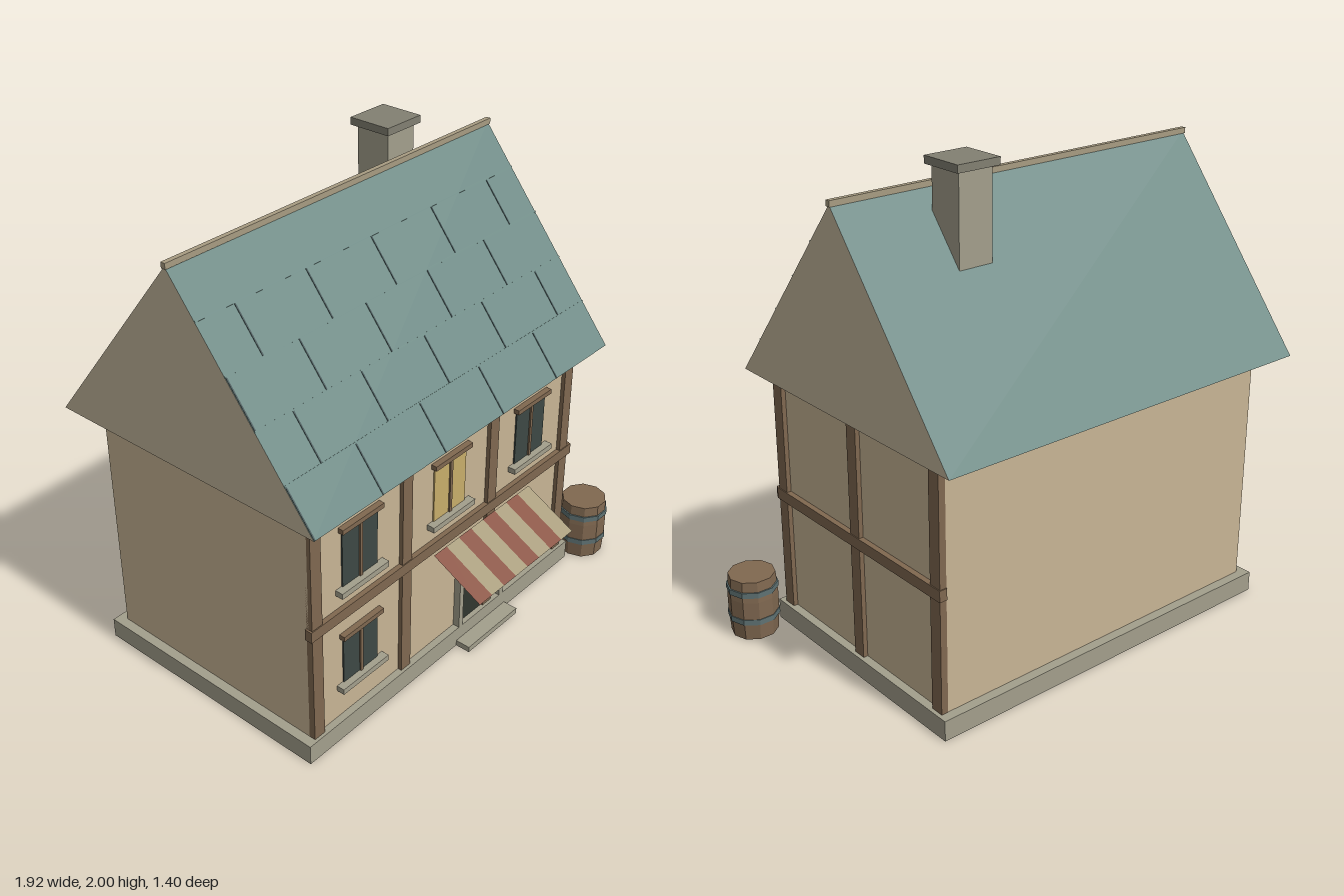
import * as THREE from 'three';

const mat = (color, extra = {}) => new THREE.MeshStandardMaterial({ color, flatShading: true, ...extra });

export function createModel() {
  const house = new THREE.Group();
  house.name = 'house';
  const plaster = mat(0xc8b595), timber = mat(0x806850), stone = mat(0xa39f8c), capStone = mat(0x828072);
  const tile = mat(0x6f8b86), joint = mat(0x46595a), gable = mat(0xc4b79d), ridgeMat = mat(0xa89c82);
  const dark = mat(0x3d4844), lit = mat(0xc8ad6a), doorMat = mat(0x30362f), iron = mat(0x5f7273);
  const red = mat(0x8a5444, { side: THREE.DoubleSide }), cream = mat(0xa89c7c, { side: THREE.DoubleSide });

  const add = (name, geometry, material, parent = house) => {
    const mesh = new THREE.Mesh(geometry, material);
    mesh.name = name;
    parent.add(mesh);
    return mesh;
  };
  // Box given by its extents on each axis
  const box = (name, material, x0, x1, y0, y1, z0, z1, parent) => {
    const mesh = add(name, new THREE.BoxGeometry(x1 - x0, y1 - y0, z1 - z0), material, parent);
    mesh.position.set((x0 + x1) / 2, (y0 + y1) / 2, (z0 + z1) / 2);
    return mesh;
  };

  // Plinth, door step and walls
  box('plinth', stone, -0.92, 0.73, 0, 0.085, -0.615, 0.485);
  box('doorStep', stone, -0.05, 0.275, 0, 0.025, 0.48, 0.55);
  box('walls', plaster, -0.88, 0.695, 0.085, 1.09, -0.575, 0.455);

  // Timber frame on the front and on one side
  for (const x of [-0.853, -0.358, 0.166, 0.665])
    box('frontPost', timber, x - 0.027, x + 0.027, 0.085, 1.09, 0.445, 0.472);
  for (const z of [0.428, -0.063, -0.548])
    box('sidePost', timber, 0.685, 0.714, 0.085, 1.09, z - 0.028, z + 0.028);
  box('frontBeam', timber, -0.888, 0.714, 0.555, 0.602, 0.445, 0.476);
  box('sideBeam', timber, 0.685, 0.718, 0.555, 0.602, -0.58, 0.465);

  // Roof prism with pale gable ends
  const ridgeY = 1.88, ridgeZ = -0.065, rise = 0.79, run = 0.635;
  const section = new THREE.Shape([
    new THREE.Vector2(-run, 0), new THREE.Vector2(run, 0), new THREE.Vector2(0, rise)]);
  const roof = add('roof', new THREE.ExtrudeGeometry(section, { depth: 1.725, bevelEnabled: false }), [gable, tile]);
  roof.rotation.y = Math.PI / 2;
  roof.position.set(-0.96, ridgeY - rise, ridgeZ);
  box('ridgeCap', ridgeMat, -0.965, 0.77, 1.873, 1.896, ridgeZ - 0.01, ridgeZ + 0.01);

  // Tile courses on the front slope, joints staggered row by row
  const slope = new THREE.Group();
  slope.name = 'tileCourses';
  slope.position.set(0, ridgeY, ridgeZ);
  slope.rotation.x = -Math.atan2(run, rise);
  house.add(slope);
  const step = Math.hypot(run, rise) / 5;
  for (let row = 1; row < 5; row++) {
    const top = -row * step;
    box('courseLine', tile, -0.96, 0.765, top - 0.003, top + 0.003, -0.003, 0.003, slope);
    for (let i = 0; i < 5; i++) {
      const x = (row % 2 ? -0.78 : -0.955) + i * 0.344;
      box('tileJoint', joint, x - 0.003, x + 0.003, top - step, top, -0.003, 0.002, slope);
    }
  }

  // Chimney
  box('chimneyShaft', stone, 0.225, 0.375, 1.5, 1.97, -0.277, -0.127);
  box('chimneyCap', capStone, 0.205, 0.395, 1.97, 2, -0.297, -0.11);

  // Windows
  const makeWindow = (x, y0, y1, pane) => {
    const g = new THREE.Group();
    g.name = 'window';
    house.add(g);
    box('pane', pane, x - 0.095, x + 0.095, y0, y1, 0.45, 0.461, g);
    box('mullion', timber, x - 0.007, x + 0.007, y0, y1, 0.45, 0.468, g);
    box('sill', stone, x - 0.127, x + 0.127, y0 - 0.024, y0, 0.45, 0.489, g);
    box('lintel', timber, x - 0.11, x + 0.11, y1, y1 + 0.02, 0.45, 0.48, g);
  };
  makeWindow(-0.61, 0.69, 0.935, dark);
  makeWindow(-0.095, 0.69, 0.935, lit);
  makeWindow(0.42, 0.69, 0.935, dark);
  makeWindow(-0.61, 0.24, 0.455, dark);

  // Arched door with stone jambs
  const arch = new THREE.Shape();
  arch.moveTo(-0.125, 0.085);
  arch.lineTo(0.125, 0.085);
  arch.absarc(0, 0.36, 0.125, 0, Math.PI, false);
  const door = add('door', new THREE.ExtrudeGeometry(arch, { depth: 0.015, bevelEnabled: false, curveSegments: 4 }), doorMat);
  door.position.set(0.112, 0, 0.448);
  for (const s of [-1, 1])
    box('doorJamb', stone, 0.112 + s * 0.136 - 0.012, 0.112 + s * 0.136 + 0.012, 0.085, 0.385, 0.45, 0.485);

  // Striped sloping awning
  const awning = new THREE.Group();
  awning.name = 'awning';
  awning.position.set(0.11, 0.48, 0.587);
  awning.rotation.x = -Math.atan2(0.226, 0.12);
  house.add(awning);
  const stripe = 0.0772;
  for (let i = 0; i < 8; i++)
    add('awningStripe', new THREE.PlaneGeometry(stripe, Math.hypot(0.226, 0.12)), i % 2 ? cream : red, awning)
      .position.x = (i - 3.5) * stripe;

  // Barrel with two hoops
  const barrel = new THREE.Group();
  barrel.name = 'barrel';
  barrel.position.set(0.852, 0, 0.483);
  barrel.rotation.y = Math.PI / 10;
  house.add(barrel);
  const profile = [[0, 0], [0.096, 0], [0.102, 0.09], [0.102, 0.17], [0.096, 0.26], [0, 0.26]]
    .map(([r, y]) => new THREE.Vector2(r, y));
  add('staves', new THREE.LatheGeometry(profile, 10), timber, barrel);
  for (const y of [0.082, 0.205])
    add('hoop', new THREE.CylinderGeometry(0.105, 0.105, 0.024, 10), iron, barrel).position.y = y;

  return house;
}
